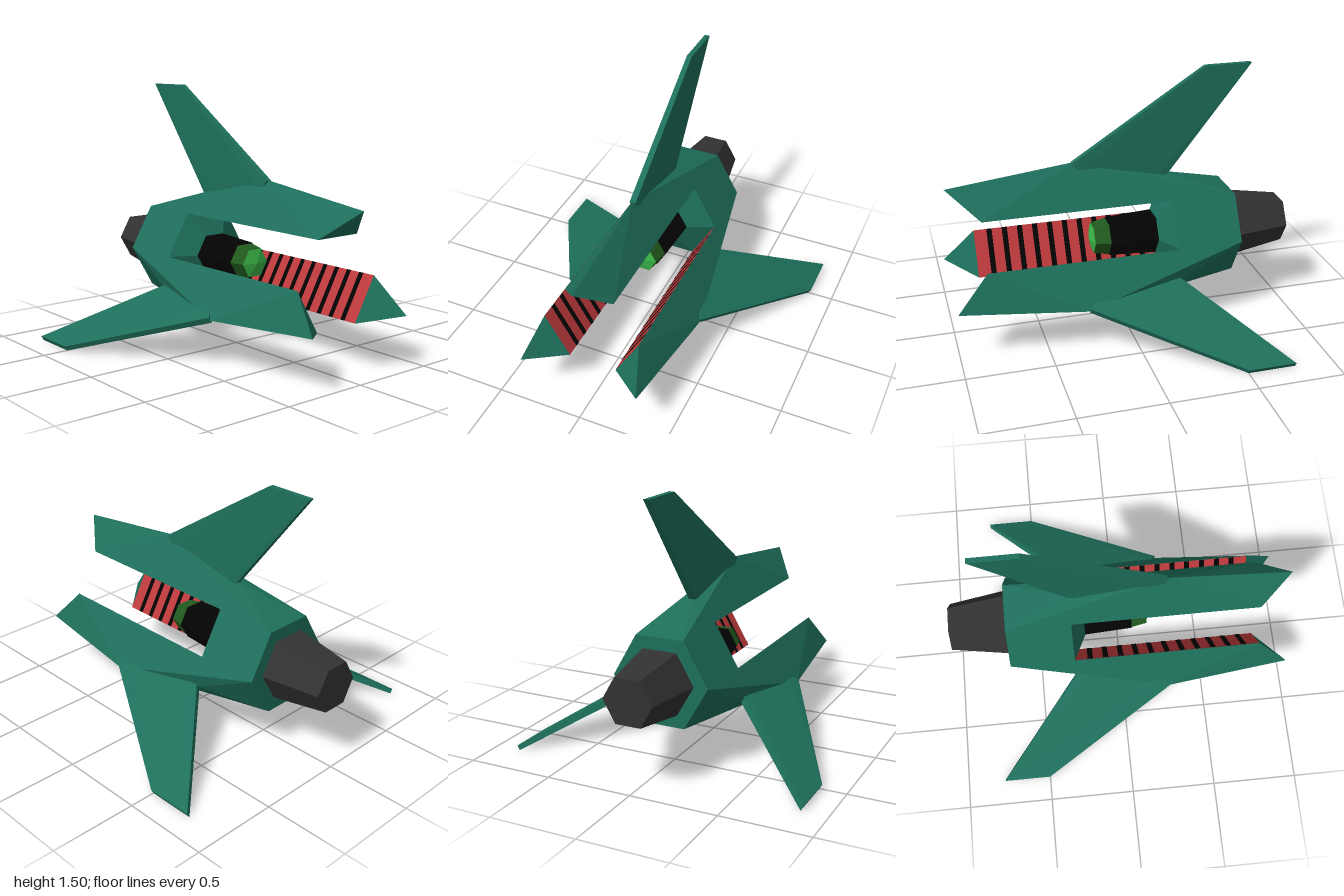
import * as THREE from 'three';
import { ConvexGeometry } from 'three/addons/geometries/ConvexGeometry.js';

const AXIS_Y = 0.509; // height of the long axis
const REAR = -0.66, BODY_FRONT = -0.28, PRONG_FRONT = 0.82;
const HEX = 0.282, APOTHEM = HEX * Math.cos(Math.PI / 6);

function material(name, color) {
  const m = new THREE.MeshStandardMaterial({ color, flatShading: true });
  m.name = name;
  return m;
}

export function createModel() {
  const green = material('hull green', 0x1e6f5b);
  const red = material('panel red', 0xbe3a3c);
  const black = material('black', 0x030303);
  const grey = material('engine grey', 0x323232);
  const bright = material('lamp green', 0x3ab848);
  const dark = material('lamp rim green', 0x215a1e);

  const model = new THREE.Group();
  model.name = 'spacecraft';
  const ship = new THREE.Group();
  ship.name = 'ship';
  ship.position.y = AXIS_Y;
  model.add(ship);

  function add(parent, name, geometry, mat) {
    const mesh = new THREE.Mesh(geometry, mat);
    mesh.name = name;
    parent.add(mesh);
    return mesh;
  }

  // Six-sided tapered section along z, with corners on the left and right
  function hexSection(name, z0, r0, z1, r1, mat) {
    const g = new THREE.CylinderGeometry(r1, r0, z1 - z0, 6, 1, false, Math.PI / 6);
    g.rotateX(Math.PI / 2);
    g.translate(0, 0, (z0 + z1) / 2);
    return add(ship, name, g, mat);
  }

  // Central body, engine and nose pod
  hexSection('body', REAR, HEX, BODY_FRONT, HEX, green);
  hexSection('bodyFrontSlope', BODY_FRONT, HEX, -0.205, 0.13, green);
  hexSection('engine', -1, 0.145, REAR, 0.2, grey);
  hexSection('pod', -0.21, 0.128, 0.075, 0.112, black);
  hexSection('lampRim', 0.075, 0.108, 0.165, 0.09, dark);
  hexSection('lamp', 0.165, 0.09, 0.185, 0.001, bright);

  // Corners mirrored across the plane of an arm: [half width, radius, z]
  const mirrored = (corners) => corners.flatMap(([x, r, z]) =>
    (x === 0 ? [0] : [x, -x]).map((side) => new THREE.Vector3(side, r, z)));

  const prongGeometry = new ConvexGeometry(mirrored([
    [HEX / 2, APOTHEM, PRONG_FRONT], [HEX / 2, APOTHEM, REAR],
    [0, 0.4, 1], [0, 0.485, 0.28], [0, 0.362, BODY_FRONT],
  ]));
  const finGeometry = new ConvexGeometry(mirrored([
    [0.024, 0.43, 0.24], [0.024, 0.33, -0.2],
    [0.018, 0.482, 0.28], [0.02, 0.36, BODY_FRONT],
    [0.015, 0.99, -0.5], [0.015, 0.99, -0.775],
  ]));

  // Flat inward-facing strips for the striped inner panels
  const panelLength = PRONG_FRONT - BODY_FRONT;
  const bays = 12, pitch = panelLength / bays;
  const strip = (length) => new THREE.PlaneGeometry(HEX, length).rotateX(Math.PI / 2);
  const panelGeometry = strip(panelLength);
  const stripeGeometry = strip(pitch * 0.34);

  // Three identical arms: prong, fin and striped inner panel
  ['topArm', 'rightArm', 'leftArm'].forEach((name, i) => {
    const arm = new THREE.Group();
    arm.name = name;
    arm.rotation.z = i * Math.PI * 2 / 3;
    ship.add(arm);
    add(arm, 'prong', prongGeometry, green);
    add(arm, 'fin', finGeometry, green);
    add(arm, 'innerPanel', panelGeometry, red)
      .position.set(0, APOTHEM - 0.0015, (PRONG_FRONT + BODY_FRONT) / 2);
    for (let k = 1; k < bays; k++) {
      add(arm, 'panelStripe', stripeGeometry, black)
        .position.set(0, APOTHEM - 0.003, BODY_FRONT + k * pitch);
    }
  });

  return model;
}
